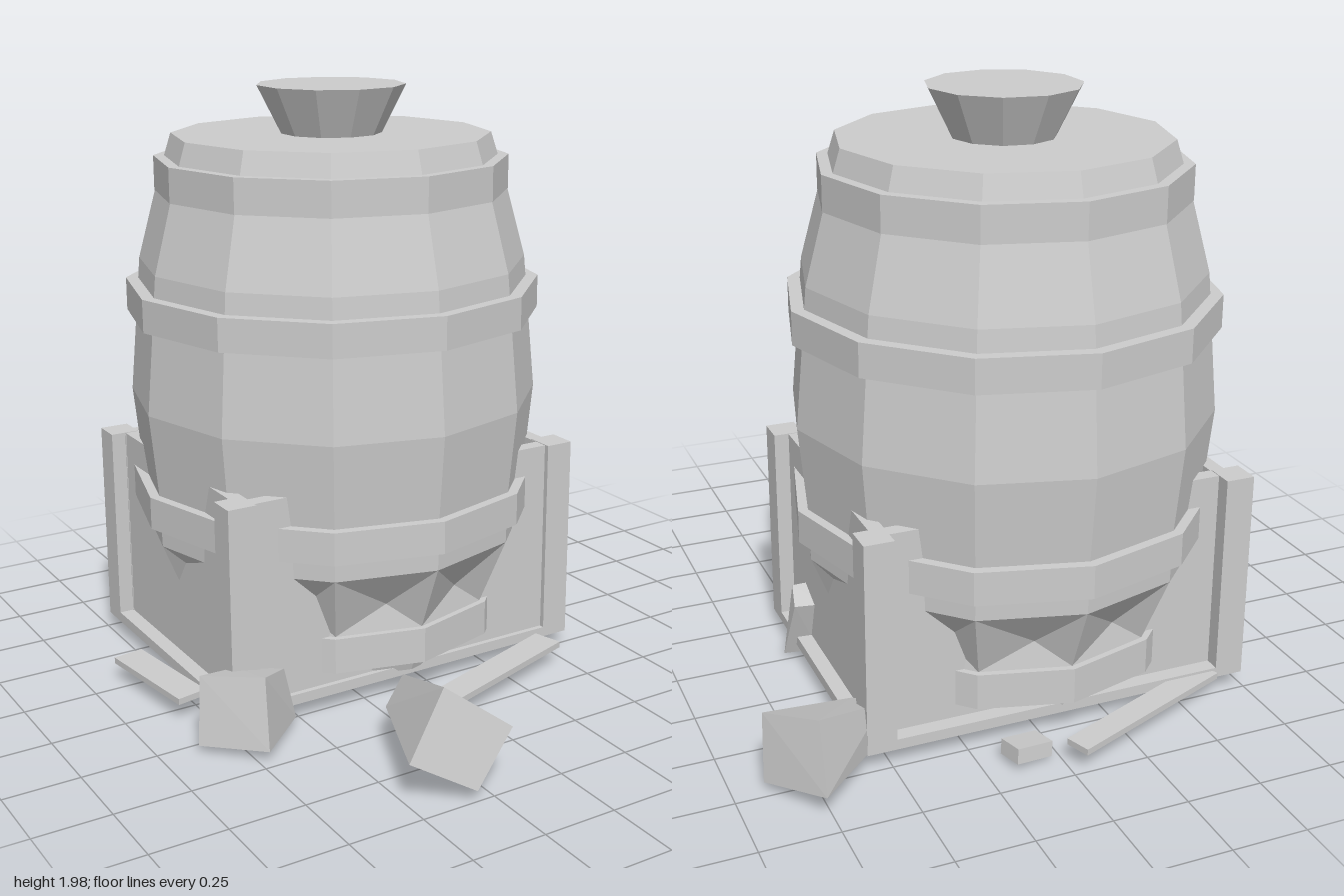
import * as THREE from 'three';
import { ConvexGeometry } from 'three/addons/geometries/ConvexGeometry.js';

export function createModel() {
  const model = new THREE.Group();
  model.name = 'barrelInBrokenCrate';
  const grey = new THREE.MeshStandardMaterial({ color: 0xcccccc, flatShading: true });
  grey.name = 'plain grey';

  const CX = -0.08, CZ = -0.23; // barrel axis
  const SIDES = 12;

  const add = (name, geometry, parent = model) => {
    const mesh = new THREE.Mesh(geometry, grey);
    mesh.name = name;
    parent.add(mesh);
    return mesh;
  };
  const box = (name, x0, x1, y0, y1, z0, z1, parent) =>
    add(name, new THREE.BoxGeometry(x1 - x0, y1 - y0, z1 - z0), parent)
      .position.set((x0 + x1) / 2, (y0 + y1) / 2, (z0 + z1) / 2);
  const hull = (name, points, parent) =>
    add(name, new ConvexGeometry(points.map(p => new THREE.Vector3(...p))), parent);

  // Barrel
  const barrel = new THREE.Group();
  barrel.name = 'barrel';
  barrel.position.set(CX, 0, CZ);
  model.add(barrel);

  const profile = [[0, 0.48], [0.665, 0.48], [0.67, 0.66], [0.697, 0.94],
    [0.655, 1.4], [0.585, 1.66], [0.535, 1.82], [0, 1.82]];
  add('barrelBody', new THREE.LatheGeometry(
    profile.map(p => new THREE.Vector2(...p)), SIDES), barrel);

  // Lower staves, each with a wedge-shaped dent under the body
  const ring = (k, r, y) => {
    const a = k * Math.PI * 2 / SIDES;
    return [r * Math.sin(a), y, r * Math.cos(a)];
  };
  const verts = [];
  for (let k = 0; k < SIDES; k++) {
    const a0 = ring(k, 0.665, 0.48), a1 = ring(k + 1, 0.665, 0.48);
    const b0 = ring(k, 0.571, 0.25), b1 = ring(k + 1, 0.571, 0.25);
    const c0 = ring(k, 0.51, 0.07), c1 = ring(k + 1, 0.51, 0.07);
    const m = ring(k + 0.6, 0.54, 0.34);
    verts.push(a0, m, a1, a0, b0, m, b0, b1, m, b1, a1, m, b0, c0, c1, b0, c1, b1);
  }
  const staves = new THREE.BufferGeometry();
  staves.setAttribute('position', new THREE.Float32BufferAttribute(verts.flat(), 3));
  staves.computeVertexNormals();
  add('lowerStaves', staves, barrel);

  // Hoops: radius, bottom, top
  for (const [r, y0, y1] of [[0.595, 1.63, 1.745], [0.703, 1.22, 1.33],
    [0.703, 0.55, 0.66], [0.592, 0.13, 0.25]]) {
    add('hoop', new THREE.CylinderGeometry(r, r, y1 - y0, SIDES), barrel)
      .position.y = (y0 + y1) / 2;
  }

  // Flared plug on the lid
  const plug = add('plug', new THREE.CylinderGeometry(0.25, 0.17, 0.16, 11), barrel);
  plug.position.y = 1.9;
  plug.rotation.y = Math.PI / 2;

  // Crate
  const crate = new THREE.Group();
  crate.name = 'crate';
  model.add(crate);
  const X0 = -0.742, X1 = 0.58, Z0 = -0.742, Z1 = 0.268, TOP = 0.76, POST = 0.098;
  for (const x of [X0, X1 - POST])
    for (const z of [Z0, Z1 - POST])
      box('cornerPost', x, x + POST, 0.08, TOP, z, z + POST, crate);
  box('frontPanel', X0 + 0.05, X1 - 0.05, 0.06, TOP - 0.002, 0.2, 0.25, crate);
  box('backPanel', X0 + 0.05, X1 - 0.05, 0.06, TOP - 0.002, -0.69, -0.64, crate);
  box('leftPanel', 0.48, 0.53, 0.06, TOP - 0.002, -0.69, 0.25, crate);
  box('rightPanel', -0.69, -0.64, 0.06, TOP - 0.002, -0.69, 0.25, crate);
  box('crateFloor', X0, X1, 0.05, 0.085, Z0, Z1, crate);

  // Debris around the crate
  const debris = new THREE.Group();
  debris.name = 'debris';
  model.add(debris);
  hull('backChunk', [
    [0.89, 0.245, -0.685], [0.77, 0.297, -0.87], [0.77, 0.07, -0.93], [0.9, 0.02, -0.71],
    [0.56, 0.14, -0.545], [0.5, 0.17, -0.66], [0.52, 0.05, -0.68], [0.57, 0.02, -0.57]], debris);
  hull('frontChunk', [
    [-0.38, 0.35, 0.92], [-0.505, 0.14, 0.93], [-0.31, 0.03, 1.0], [-0.18, 0.2, 0.99],
    [-0.28, 0.21, 0.54], [-0.35, 0.12, 0.55], [-0.26, 0.02, 0.59], [-0.165, 0.15, 0.58]], debris);
  hull('sideChunk', [
    [-0.86, 0.245, 0.28], [-0.71, 0.262, 0.43], [-0.72, 0.03, 0.47], [-0.88, 0.02, 0.3],
    [-0.7, 0.2, 0.2], [-0.56, 0.19, 0.27], [-0.53, 0.02, 0.29], [-0.68, 0.02, 0.18]], debris);
  hull('leaningSplinter', [
    [0.5, 0.26, 0.03], [0.5, 0.22, -0.07], [0.48, 0.02, 0.19], [0.5, 0.01, 0.0],
    [0.58, 0.265, 0.02], [0.6, 0.23, -0.07], [0.55, 0.05, 0.17], [0.62, 0.015, 0.01]], debris);

  // Loose slats lying flat: outline corners in x, z
  const slats = [
    [[-0.9, -0.32], [-0.795, -0.335], [-0.74, 0.06], [-0.845, 0.08]],
    [[-0.19, 0.49], [0.44, 0.28], [0.47, 0.38], [-0.16, 0.585]],
    [[-0.64, -0.76], [-0.04, -1.0], [-0.01, -0.92], [-0.61, -0.68]],
  ];
  for (const s of slats)
    hull('looseSlat', s.flatMap(([x, z]) => [[x, 0.055, z], [x, 0.076, z]]), debris);

  // Small splinters under the floor
  for (const [x, z, turn] of [[0.42, -0.42, 0.4], [0.03, -0.3, 0.9], [0.1, -0.86, 0.2]]) {
    const bit = add('splinter', new THREE.BoxGeometry(0.13, 0.05, 0.09), debris);
    bit.position.set(x, 0.035, z);
    bit.rotation.set(0.1, turn, 0.1);
  }
  return model;
}
